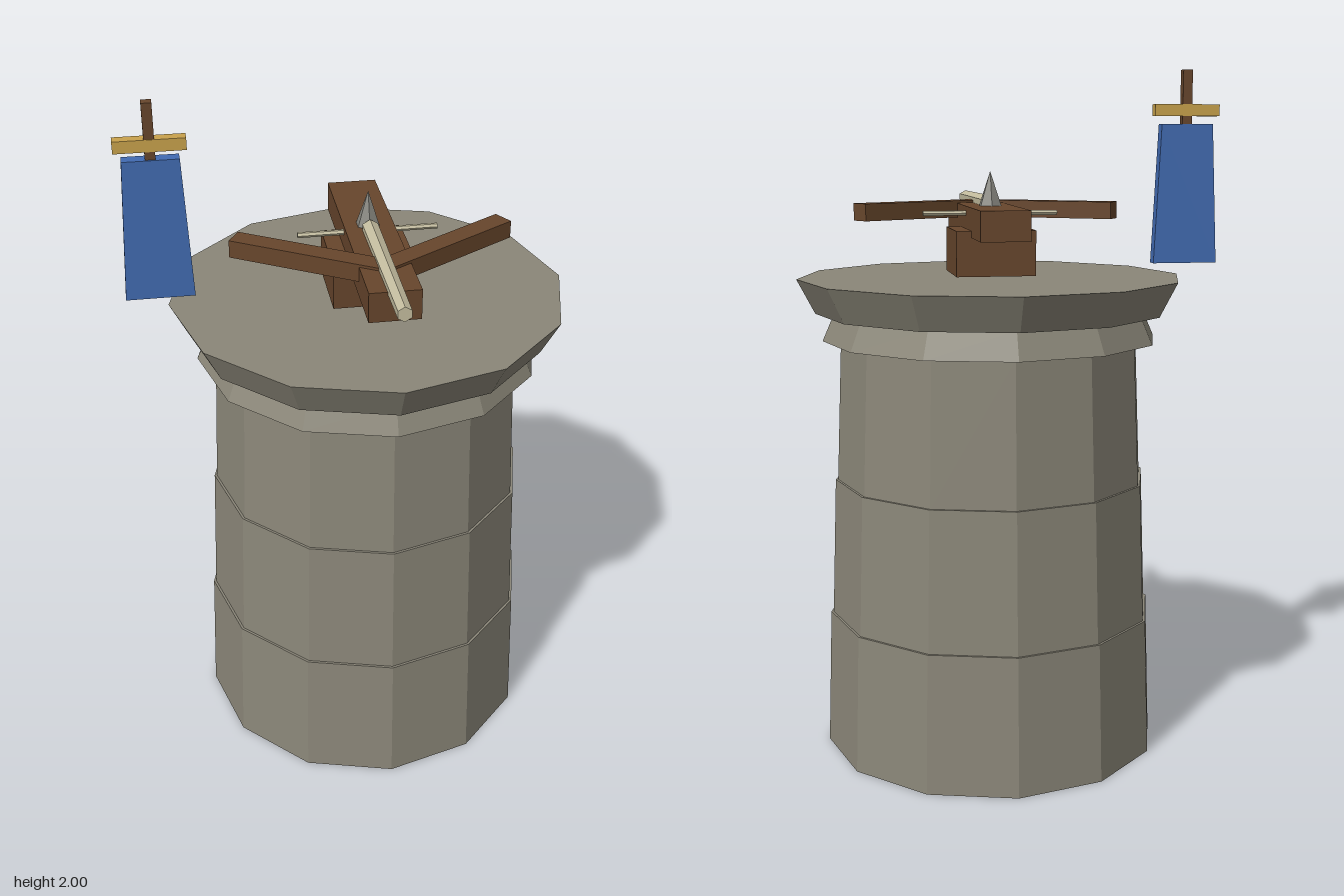
import * as THREE from 'three';

function paint(name, color) {
  const m = new THREE.MeshStandardMaterial({ color, flatShading: true });
  m.name = name;
  return m;
}

export function createModel() {
  const stone = paint('stone', 0x8b8779);
  const wood = paint('wood', 0x67462c);
  const bone = paint('pale wood', 0xc4bd9f);
  const steel = paint('steel', 0x85847d);
  const blue = paint('blue cloth', 0x426bb2);
  const gold = paint('gold', 0xc8a24c);

  const model = new THREE.Group();
  model.name = 'watchtower';
  const add = (parent, name, geometry, material, x, y, z) => {
    const mesh = new THREE.Mesh(geometry, material);
    mesh.name = name;
    mesh.position.set(x, y, z);
    parent.add(mesh);
    return mesh;
  };
  const box = (w, h, d) => new THREE.BoxGeometry(w, h, d);

  // Twelve-sided tower: three stepped courses, flared collar and deck
  const tower = new THREE.Group();
  tower.name = 'tower';
  tower.position.x = 0.055;
  model.add(tower);
  const rings = [
    // name, bottom y, top y, bottom radius, top radius
    ['lowerCourse', 0, 0.405, 0.5, 0.486],
    ['middleCourse', 0.405, 0.812, 0.479, 0.464],
    ['upperCourse', 0.812, 1.225, 0.457, 0.44],
    ['collar', 1.225, 1.305, 0.493, 0.458],
    ['deck', 1.305, 1.405, 0.512, 0.564],
  ];
  for (const [name, y0, y1, r0, r1] of rings) {
    add(tower, name, new THREE.CylinderGeometry(r1, r0, y1 - y0, 12), stone, 0, (y0 + y1) / 2, 0);
  }

  // Ballista on the deck
  const ballista = new THREE.Group();
  ballista.name = 'ballista';
  ballista.position.x = 0.055;
  model.add(ballista);
  add(ballista, 'mount', box(0.23, 0.13, 0.23), wood, 0, 1.48, 0);
  add(ballista, 'stock', box(0.14, 0.085, 0.7), wood, 0.002, 1.568, 0.055);
  for (const side of [-1, 1]) {
    const arm = add(ballista, side > 0 ? 'leftArm' : 'rightArm', box(0.45, 0.05, 0.06), wood, side * 0.184, 1.593, 0.151);
    arm.rotation.y = side * 0.545;
  }
  const string = add(ballista, 'bowstring', new THREE.CylinderGeometry(0.008, 0.008, 0.394, 6), bone, 0, 1.59, -0.002);
  string.rotation.z = Math.PI / 2;
  const bolt = add(ballista, 'bolt', new THREE.CylinderGeometry(0.021, 0.025, 0.5, 6), bone, 0, 1.615, 0.285);
  bolt.rotation.x = Math.PI / 2;
  add(ballista, 'boltTip', new THREE.ConeGeometry(0.035, 0.1, 6), steel, 0, 1.66, 0);

  // Banner hanging beside the deck
  const banner = new THREE.Group();
  banner.name = 'banner';
  banner.position.x = -0.528;
  model.add(banner);
  add(banner, 'bannerPole', box(0.028, 0.17, 0.028), wood, 0, 1.915, 0);
  add(banner, 'bannerCrossbar', box(0.194, 0.034, 0.033), gold, 0, 1.884, 0);
  const cloth = new THREE.Shape([
    new THREE.Vector2(-0.096, 1.438),
    new THREE.Vector2(0.096, 1.438),
    new THREE.Vector2(0.077, 1.844),
    new THREE.Vector2(-0.077, 1.844),
  ]);
  add(banner, 'bannerCloth', new THREE.ExtrudeGeometry(cloth, { depth: 0.037, bevelEnabled: false }), blue, 0, 0, -0.0185);

  return model;
}
